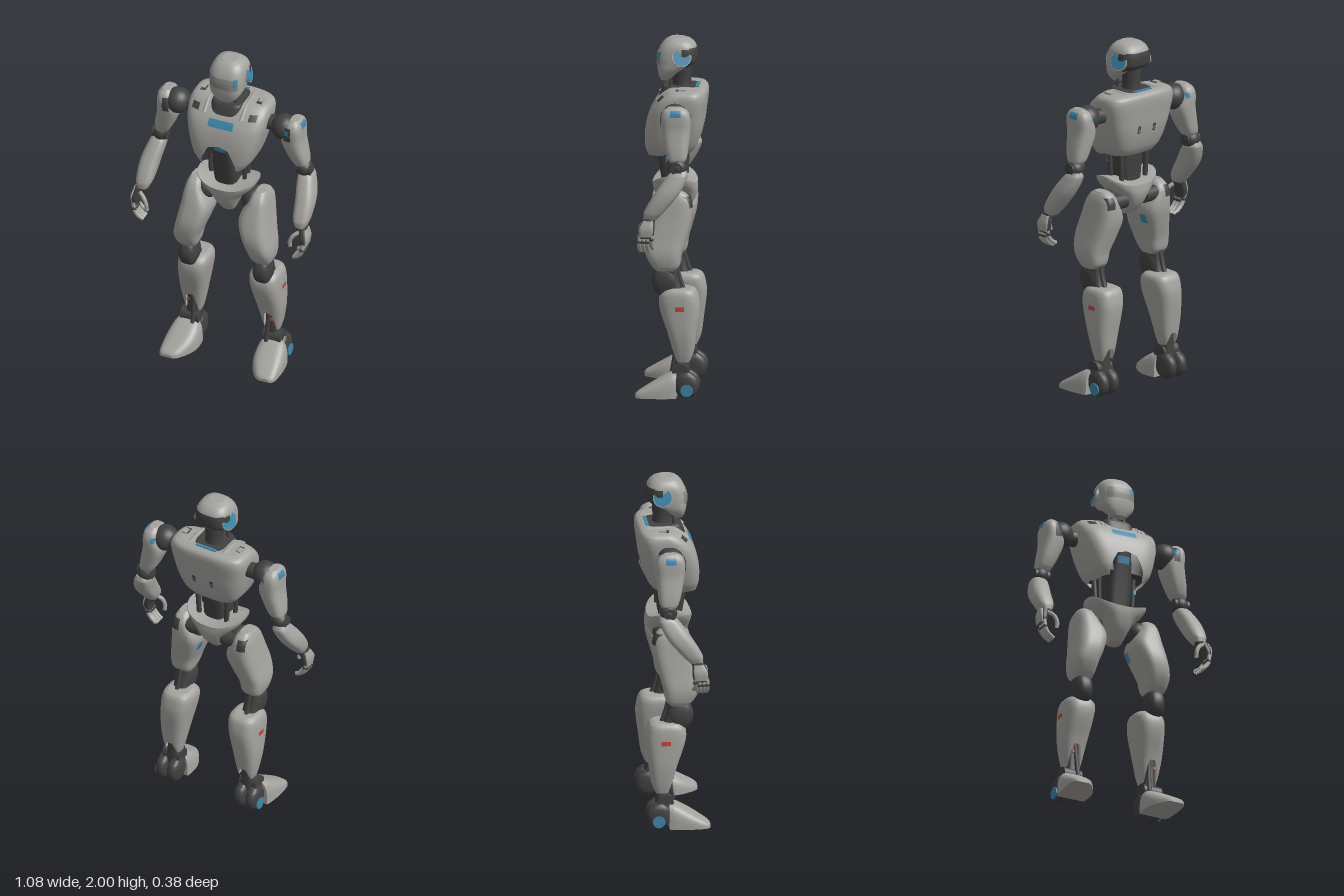
import * as THREE from 'three';
import { mergeVertices } from 'three/addons/utils/BufferGeometryUtils.js';

const mat = (name, color) => new THREE.MeshStandardMaterial({ name, color, side: THREE.DoubleSide });
const V = (p) => new THREE.Vector3(...p);
const spow = (v, e) => Math.sign(v) * Math.pow(Math.abs(v), e);

// Smoothly interpolated section [y, x, z, rx, rz, power] at height y
function section(rings, y) {
  let i = 0;
  while (i < rings.length - 2 && y > rings[i + 1][0]) i++;
  const slope = (k, c) => {
    const a = rings[Math.max(k - 1, 0)], b = rings[Math.min(k + 1, rings.length - 1)];
    return (b[c] - a[c]) / (b[0] - a[0]);
  };
  const a = rings[i], b = rings[i + 1], h = b[0] - a[0];
  const t = Math.min(Math.max((y - a[0]) / h, 0), 1), u = 1 - t;
  return a.map((_, c) => c === 0 ? y :
    a[c] * (1 + 2 * t) * u * u + b[c] * t * t * (3 - 2 * t) + h * t * u * (u * slope(i, c) - t * slope(i + 1, c)));
}

// Body of stacked superellipse sections; range(ratio, s) may move the lower and upper rim
function loft(rings, { range, open = false, n = 36, sub = 4 } = {}) {
  const y0 = rings[0][0], y1 = rings[rings.length - 1][0], ys = [];
  rings.slice(0, -1).forEach((r, i) => {
    for (let k = 0; k < sub; k++) ys.push(r[0] + (rings[i + 1][0] - r[0]) * k / sub);
  });
  ys.push(y1);
  const pos = [], idx = [];
  ys.forEach((yy) => {
    for (let j = 0; j < n; j++) {
      const c = Math.cos(j / n * Math.PI * 2), s = Math.sin(j / n * Math.PI * 2);
      const [lo, hi] = range ? range(Math.sqrt(Math.abs(c)), s) : [y0, y1];
      const y = lo + (yy - y0) / (y1 - y0) * (hi - lo);
      const [, x, z, rx, rz, p] = section(rings, y);
      pos.push(x + rx * spow(c, 2 / p), y, z + rz * spow(s, 2 / p));
    }
  });
  for (let i = 0; i < ys.length - 1; i++) for (let j = 0; j < n; j++) {
    const a = i * n + j, b = i * n + (j + 1) % n;
    idx.push(a, a + n, b, b, a + n, b + n);
  }
  const cap = (row, up) => {
    const base = pos.length / 3, m = [0, 0, 0];
    for (let j = 0; j < n; j++) for (let k = 0; k < 3; k++) {
      const v = pos[(row * n + j) * 3 + k];
      pos.push(v);
      m[k] += v / n;
    }
    pos.push(...m);
    for (let j = 0; j < n; j++) {
      const a = base + j, b = base + (j + 1) % n;
      idx.push(base + n, ...(up ? [b, a] : [a, b]));
    }
  };
  if (!open) cap(0, false);
  cap(ys.length - 1, true);
  return finish(pos, idx);
}

function finish(pos, idx) {
  const g = new THREE.BufferGeometry();
  g.setAttribute('position', new THREE.Float32BufferAttribute(pos, 3));
  g.setIndex(idx);
  g.computeVertexNormals();
  return g;
}

// Thin painted sheet hugging a loft, facing along +-x or +-z
function patch(rings, axis, sign, [a0, a1], [y0, y1], out = 0.004) {
  const pos = [], idx = [], N = 8;
  for (let i = 0; i <= N; i++) for (let j = 0; j <= N; j++) {
    const y = y0 + (y1 - y0) * i / N, a = a0 + (a1 - a0) * j / N;
    const [, x, z, rx, rz, p] = section(rings, y);
    const f = (d, r) => Math.pow(Math.max(0, 1 - Math.pow(Math.abs(d / r), p)), 1 / p);
    if (axis === 'z') pos.push(a, y, z + sign * (rz * f(a - x, rx) + out));
    else pos.push(x + sign * (rx * f(a - z, rz) + out), y, a);
  }
  for (let i = 0; i < N; i++) for (let j = 0; j < N; j++) {
    const a = i * (N + 1) + j, b = a + N + 1;
    idx.push(...((axis === 'z') === (sign > 0) ? [a, a + 1, b, b, a + 1, b + 1] : [a, b, a + 1, b, b + 1, a + 1]));
  }
  return finish(pos, idx);
}

const ball = (r, p) => new THREE.SphereGeometry(r, 24, 16).translate(...p);
const axle = (r, len, p) => new THREE.CylinderGeometry(r, r, len, 28).rotateZ(Math.PI / 2).translate(...p);
const block = (s, p) => new THREE.BoxGeometry(...s).translate(...p);
const rod = (r, ...pts) => new THREE.TubeGeometry(new THREE.CatmullRomCurve3(pts.map(V)), 14, r, 10);
// Disc facing outward, a little up and back
const earPlate = (r, len, p) => new THREE.CylinderGeometry(r, r, len, 28).rotateZ(.3 - Math.PI / 2).rotateY(.2).translate(...p);

function mirrored(g) {
  const m = mergeVertices(g.clone()).scale(-1, 1, 1), ix = m.index.array;
  for (let i = 0; i < ix.length; i += 3) [ix[i], ix[i + 1]] = [ix[i + 1], ix[i]];
  return m;
}

export function createModel() {
  const root = new THREE.Group();
  root.name = 'humanoidRobot';
  const shell = mat('shellGrey', 0xa4a39f), dark = mat('jointDark', 0x414141);
  const visor = mat('visorGrey', 0x868683), blue = mat('accentBlue', 0x3d87aa), red = mat('markRed', 0xc4423b);
  const add = (name, g, m) => {
    const mesh = new THREE.Mesh(g, m);
    mesh.name = name;
    root.add(mesh);
  };
  const pair = (name, g, m) => {
    add(name + 'Left', g, m);
    add(name + 'Right', mirrored(g), m);
  };
  const ramp = (r, a, b) => Math.min(Math.max((r - a) / (b - a), 0), 1);

  // Head and neck
  const head = [[1.757, 0, .045, .045, .028, 3], [1.785, 0, .038, .075, .045, 3], [1.82, 0, .02, .095, .07, 3],
    [1.86, 0, -.012, .102, .106, 3], [1.90, 0, -.018, .103, .111, 3], [1.95, 0, -.025, .098, .1, 2.8],
    [1.985, 0, -.025, .076, .072, 2.6], [2, 0, -.02, .045, .04, 2.4]];
  add('head', loft(head), shell);
  add('visor', patch(head, 'z', 1, [-.085, .085], [1.85, 1.92], .003), visor);
  add('visorLight', patch(head, 'z', 1, [.062, .082], [1.88, 1.925], .006), blue);
  add('headBackPanel', patch(head, 'z', -1, [-.088, .088], [1.84, 1.95]), dark);
  pair('headSidePanel', patch(head, 'x', 1, [-.112, -.05], [1.845, 1.945], .003), dark);
  pair('earRing', earPlate(.055, .02, [.093, 1.9, -.05]), shell);
  pair('earDisc', earPlate(.05, .006, [.103, 1.903, -.052]), blue);
  add('neck', loft([[1.66, 0, -.045, .065, .065, 2], [1.75, 0, -.045, .05, .052, 2], [1.86, 0, -.04, .06, .062, 2]]), dark);
  pair('neckRod', rod(.009, [.055, 1.69, .02], [.04, 1.84, .01]), dark);

  // Torso with a notch at the front of the waist
  const chest = [[1.345, 0, .025, .135, .122, 3.6], [1.40, 0, .011, .175, .146, 3.8], [1.5, 0, -.006, .207, .16, 4],
    [1.6, 0, -.026, .23, .154, 4], [1.66, 0, -.049, .236, .138, 4], [1.70, 0, -.068, .231, .119, 3.6],
    [1.72, 0, -.075, .212, .1, 3.4], [1.728, 0, -.075, .18, .08, 3]];
  add('chest', loft(chest, { n: 72, open: true,
    range: (r, s) => [s > 0 ? 1.5 - .155 * ramp(r, .24, .76) : 1.36, 1.728] }), shell);
  add('chestCore', loft(chest.slice(1, 4).map(([y, x, z, rx, rz, p]) => [y, x, z - .03, rx * .93, rz * .78, p])), dark);
  add('chestLight', patch(chest, 'z', 1, [-.075, .075], [1.605, 1.645], .002), blue);
  pair('backPort', patch(chest, 'z', -1, [.046, .066], [1.495, 1.54]), dark);
  pair('backPortLight', patch(chest, 'z', -1, [.05, .062], [1.502, 1.525], .006), blue);
  add('collar', loft([[1.65, 0, -.025, .098, .115, 4], [1.715, 0, -.035, .095, .1, 4], [1.731, 0, -.04, .09, .095, 4]]), dark);
  pair('collarRail', rod(.013, [.108, 1.72, -.13], [.11, 1.722, -.06], [.112, 1.71, .02], [.112, 1.66, .085]), shell);
  add('collarLight', block([.13, .006, .018], [0, 1.731, -.134]), blue);
  pair('shoulderVent', block([.03, .012, .05], [.17, 1.724, -.05]), dark);
  pair('shoulderVentCover', block([.026, .022, .04], [.175, 1.725, -.06]), shell);
  pair('chestVent', patch(chest, 'z', 1, [.15, .195], [1.665, 1.695]), dark);

  // Waist
  const waist = [[1.12, 0, -.005, .06, .06, 3.5], [1.25, 0, .003, .075, .075, 3.5], [1.36, 0, .01, .075, .088, 3.5],
    [1.52, 0, .03, .055, .1, 3.5]];
  add('waist', loft(waist), dark);
  add('waistLight', patch(waist, 'z', 1, [-.042, .03], [1.44, 1.482]), blue);
  pair('waistPistonFront', rod(.013, [.1, 1.15, .01], [.108, 1.42, .02]), dark);
  pair('waistPistonBack', rod(.015, [.085, 1.15, -.06], [.1, 1.42, -.065]), dark);
  add('pistonLight', block([.016, .028, .008], [.106, 1.32, .031]), blue);

  // Pelvis, its rim rising to the sides
  add('pelvis', loft([[1, 0, -.01, .04, .045, 2.6], [1.06, 0, -.012, .066, .095, 2.6], [1.12, 0, -.012, .1, .12, 2.6],
    [1.17, 0, -.007, .148, .125, 2.8], [1.21, 0, -.003, .174, .122, 2.8], [1.237, 0, 0, .176, .105, 2.8]],
  { n: 60, range: (r) => [1, 1.18 + .057 * r ** 4] }), shell);
  pair('hipJoint', ball(.07, [.145, 1.085, -.015]), dark);
  pair('hipAxle', axle(.045, .14, [.14, 1.09, -.06]), dark);

  // Legs
  const thigh = [[.715, .225, .025, .05, .055, 3.4], [.745, .226, .027, .063, .08, 3.4], [.81, .222, .038, .074, .102, 3.4],
    [.9, .197, .03, .083, .12, 3.4], [1, .177, .005, .086, .12, 3.4], [1.1, .193, -.015, .056, .1, 3.2],
    [1.14, .195, -.018, .042, .075, 3], [1.16, .197, -.018, .028, .045, 2.8]];
  pair('thigh', loft(thigh), shell);
  pair('thighLight', patch(thigh, 'x', -1, [-.06, -.015], [.915, .97]), blue);
  pair('thighBackPanel', patch(thigh, 'z', -1, [.188, .236], [1.07, 1.135]), dark);
  pair('knee', loft([[.565, .225, .02, .028, .03, 2.8], [.6, .225, .028, .046, .062, 2.8], [.655, .225, .03, .053, .075, 2.8],
    [.705, .225, .03, .046, .062, 2.8], [.74, .225, .03, .03, .03, 2.8]]), dark);
  pair('kneeLink', loft([[.55, .222, -.03, .05, .06, 3], [.66, .225, 0, .042, .05, 3], [.77, .225, .02, .045, .055, 3]]), dark);
  pair('kneeRod', rod(.013, [.225, .57, -.09], [.225, .66, -.055], [.225, .76, -.03]), dark);
  const shin = [[.2, .238, -.075, .045, .042, 3], [.25, .238, -.075, .057, .057, 3], [.36, .235, -.067, .075, .08, 3],
    [.5, .222, -.052, .087, .112, 3], [.57, .216, -.047, .09, .108, 3], [.605, .215, -.052, .08, .088, 3],
    [.617, .215, -.055, .06, .065, 3]];
  pair('shin', loft(shin, { n: 56, open: true,
    range: (r, s) => [.2 + (s > 0 ? .13 : .07) * (1 - ramp(r, .4, .85)), .617] }), shell);
  pair('shinMark', patch(shin, 'x', 1, [-.083, -.032], [.495, .52]), red);
  pair('shinFrontMark', block([.014, .014, .008], [.255, .285, -.012]), red);
  pair('ankle', loft([[.06, .245, -.07, .05, .045, 3], [.2, .24, -.07, .037, .04, 3], [.42, .236, -.065, .035, .04, 3]]), dark);
  pair('ankleRod', rod(.013, [.225, .1, 0], [.225, .2, -.02], [.232, .34, -.035]), dark);
  pair('ankleAxle', axle(.046, .11, [.25, .15, -.06]), dark);

  // Wedge feet lofted from heel to toe and flattened at the sole, with round heels
  const foot = loft([[-.04, .258, 0, .082, .148, 3.6], [-.01, .26, 0, .088, .143, 3.6], [.05, .264, 0, .091, .111, 3.6],
    [.1, .272, 0, .084, .081, 3.6], [.15, .285, 0, .068, .051, 3.4], [.178, .292, 0, .052, .033, 3.2],
    [.19, .295, 0, .034, .022, 2.8]]).rotateX(Math.PI / 2);
  const fp = foot.attributes.position;
  for (let i = 0; i < fp.count; i++) fp.setY(i, Math.max(fp.getY(i), .003));
  foot.computeVertexNormals();
  pair('foot', foot, shell);
  [.218, .292].forEach((x, i) => pair('heel' + (i ? 'Outer' : 'Inner'),
    loft([[.004, x, -.095, .022, .025, 2.4], [.03, x, -.095, .034, .058, 2.4], [.075, x, -.095, .038, .072, 2.4],
      [.12, x, -.095, .034, .058, 2.4], [.146, x, -.095, .022, .025, 2.4]]), dark));
  pair('heelDisc', axle(.035, .008, [.33, .048, -.1]), blue);

  // Arms
  pair('shoulderAxle', axle(.045, .18, [.28, 1.61, -.045]), dark);
  pair('shoulderJoint', ball(.075, [.325, 1.61, -.033]), dark);
  const upper = [[1.375, .425, -.055, .035, .04, 3], [1.395, .42, -.055, .044, .053, 3], [1.45, .403, -.05, .055, .066, 3],
    [1.55, .377, -.045, .063, .08, 3], [1.62, .388, -.043, .05, .082, 3], [1.66, .39, -.042, .04, .068, 2.8],
    [1.68, .388, -.04, .022, .04, 2.6]];
  pair('upperArm', loft(upper), shell);
  pair('shoulderLight', patch(upper, 'x', 1, [-.075, -.015], [1.63, 1.668]), blue);
  pair('shoulderFrontPanel', patch(upper, 'z', 1, [.35, .39], [1.565, 1.65]), dark);
  add('shoulderFrontLight', patch(upper, 'z', 1, [.353, .378], [1.605, 1.635], .007), blue);
  pair('shoulderBackLight', patch(upper, 'z', -1, [.348, .37], [1.61, 1.64]), blue);
  pair('elbow', ball(.049, [.437, 1.345, -.06]), dark);
  pair('elbowAxle', axle(.034, .09, [.437, 1.345, -.055]), dark);
  pair('forearm', loft([[1.06, .48, .09, .032, .038, 2.8], [1.1, .478, .07, .047, .056, 2.8], [1.2, .472, 0, .054, .069, 2.8],
    [1.3, .45, -.06, .046, .057, 2.8], [1.33, .448, -.073, .03, .037, 2.8]]), shell);
  pair('wrist', ball(.032, [.485, 1.055, .095]), dark);
  pair('palm', loft([[.955, .512, .112, .016, .04, 2.8], [1, .512, .11, .022, .045, 2.8], [1.06, .495, .1, .025, .032, 2.8]]), dark);
  pair('handBack', loft([[.965, .527, .112, .008, .036, 2.8], [1.01, .53, .11, .009, .04, 2.8], [1.055, .518, .1, .009, .028, 2.8]]), shell);
  for (let i = 0; i < 4; i++) {
    const z = .08 + i * .022, d = i === 0 ? .015 : 0;
    pair('finger' + (i + 1), rod(.012, [.515, .975, z], [.51, .925 + d, z + .004], [.485, .89 + d, z + .004], [.457, .873 + d, z]), shell);
    pair('fingerKnuckle' + (i + 1), ball(.0145, [.511, .935 + d, z + .003]), dark);
  }
  pair('thumb', rod(.012, [.49, 1.04, .125], [.455, 1.015, .145], [.438, .98, .15], [.437, .945, .147]), shell);

  return root;
}
